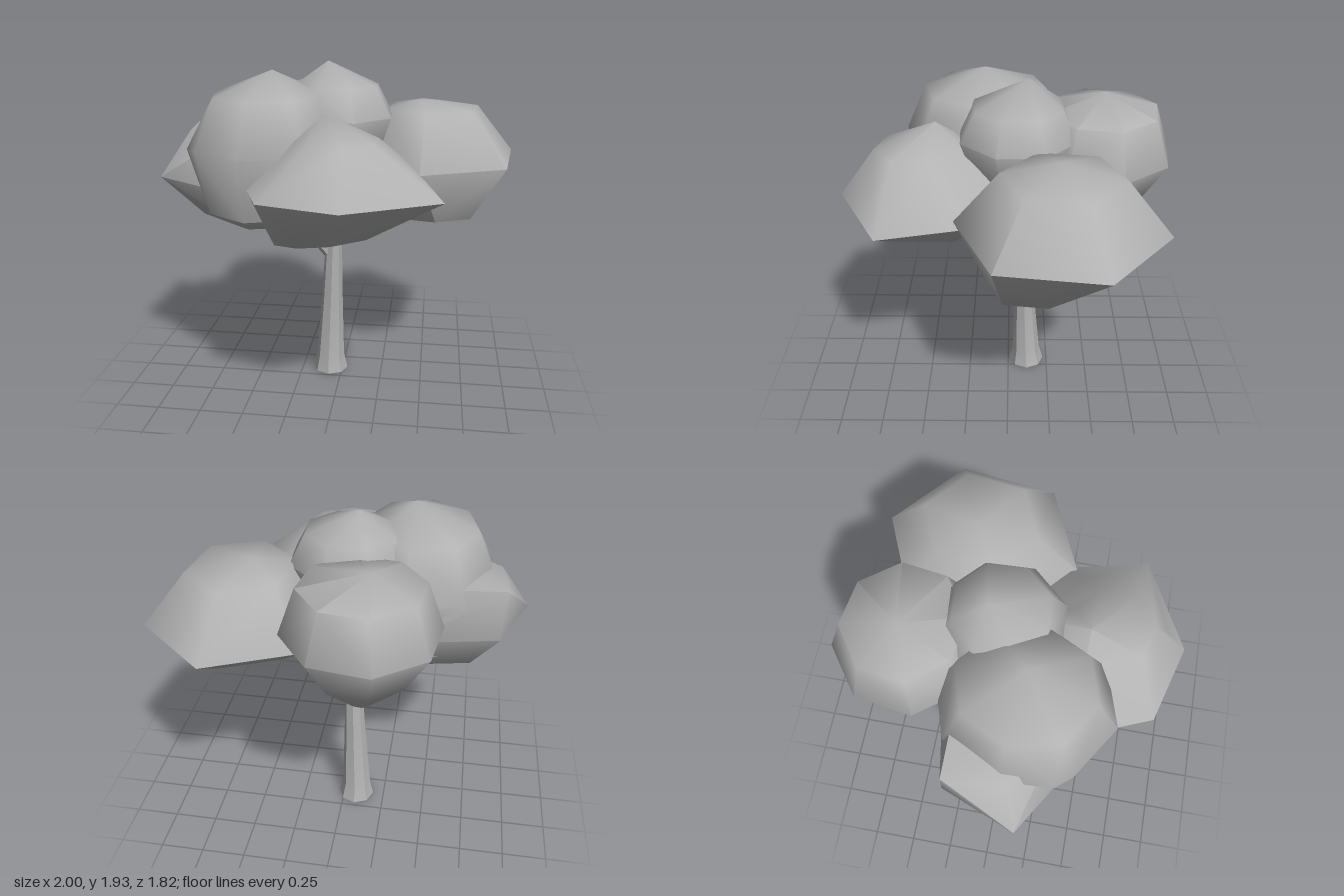
import * as THREE from 'three';
import { toCreasedNormals } from 'three/addons/utils/BufferGeometryUtils.js';
import { ConvexGeometry } from 'three/addons/geometries/ConvexGeometry.js';

// Double-sided because the limbs are open tubes
const grey = new THREE.MeshStandardMaterial({ color: 0xb2b2b2, side: THREE.DoubleSide });
grey.name = 'plain grey';

// Faceted limb: an open prism whose rows follow [y, x, z, radius] sections
function limb(name, sides, ...sections) {
  const rows = sections.length - 1;
  const geo = new THREE.CylinderGeometry(1, 1, 1, sides, rows, true);
  const p = geo.attributes.position;
  for (let i = 0; i < p.count; i++) {
    const [y, x, z, r] = sections[Math.round((p.getY(i) + 0.5) * rows)];
    p.setXYZ(i, x + p.getX(i) * r, y, z + p.getZ(i) * r);
  }
  const mesh = new THREE.Mesh(toCreasedNormals(geo, 0.4), grey);
  mesh.name = name;
  return mesh;
}

// Leaf clump: hull of an elliptical polygon, turned by some degrees and
// repeated at [y, scale, dx, dz] levels, closed by peak points
function clump(name, { centre: [cx, cz], radii: [rx, rz], sides, turn, levels, peaks }) {
  const points = peaks.map((q) => new THREE.Vector3(...q));
  for (const [y, s, dx = 0, dz = 0] of levels) {
    for (let i = 0; i < sides; i++) {
      const a = THREE.MathUtils.degToRad(turn + (360 * i) / sides);
      points.push(new THREE.Vector3(cx + dx + rx * s * Math.cos(a), y, cz + dz + rz * s * Math.sin(a)));
    }
  }
  const mesh = new THREE.Mesh(toCreasedNormals(new ConvexGeometry(points), 1.05), grey);
  mesh.name = name;
  return mesh;
}

export function createModel() {
  const tree = new THREE.Group();
  tree.name = 'tree';

  // Flared, slightly leaning trunk
  tree.add(limb('trunk', 8,
    [0, -0.075, -0.12, 0.108],
    [0.1, -0.075, -0.115, 0.086],
    [0.5, -0.06, -0.1, 0.064],
    [0.8, -0.05, -0.085, 0.052],
    [1.3, -0.04, -0.06, 0.03]));

  // Thin branches reaching into the foliage
  tree.add(
    limb('rightBranch', 5, [0.77, -0.07, -0.09, 0.034], [1.19, -0.33, 0.15, 0.026]),
    limb('leftBranch', 5, [0.89, -0.04, -0.09, 0.034], [1.2, 0.2, -0.18, 0.026]),
    limb('backBranch', 5, [0.8, -0.06, -0.11, 0.034], [1.2, -0.13, -0.34, 0.026]),
  );

  // Round clumps on top
  const foliage = new THREE.Group();
  foliage.name = 'foliage';
  foliage.add(
    clump('largeRoundClump', {
      centre: [-0.38, 0.13], radii: [0.42, 0.475], sides: 8, turn: 97,
      levels: [[1.5, 1], [1.77, 0.74], [1.15, 0.8, -0.02]],
      peaks: [[-0.35, 1.9, 0.13], [-0.78, 1.5, 0.34], [-0.4, 1.12, 0.13]],
    }),
    clump('topClump', {
      centre: [-0.03, -0.055], radii: [0.34, 0.34], sides: 8, turn: -25,
      levels: [[1.64, 1], [1.8, 0.74], [1.35, 0.7]],
      peaks: [[-0.08, 1.93, -0.11], [-0.02, 1.2, -0.06]],
    }),
    clump('backClump', {
      centre: [-0.15, -0.52], radii: [0.41, 0.405], sides: 8, turn: -14,
      levels: [[1.48, 1], [1.73, 0.78], [1.25, 0.66], [1.05, 0.15]],
      peaks: [[-0.2, 1.81, -0.53]],
    }),
  );

  // Flatter clumps with a sharp rim
  foliage.add(
    clump('frontClump', {
      centre: [0.02, 0.4], radii: [0.5, 0.52], sides: 7, turn: 28,
      levels: [[1.34, 1], [1.5, 0.64, 0.04, 0.06], [1.6, 0.42, 0.04, 0.1], [1.09, 0.48, -0.03], [1.04, 0.3, -0.2]],
      peaks: [[-0.02, 1.71, 0.39], [0.59, 1.34, 0.66]],
    }),
    clump('leftClump', {
      centre: [0.53, -0.27], radii: [0.505, 0.55], sides: 6, turn: -22,
      levels: [[1.375, 1], [1.655, 0.57, -0.02], [1.19, 0.64, 0, 0.08], [1.07, 0.42, 0.05, 0.15]],
      peaks: [[0.45, 1.705, -0.27], [0.15, 1.045, -0.05]],
    }),
    clump('lowRightClump', {
      centre: [-0.49, 0.05], radii: [0.5, 0.38], sides: 6, turn: 165,
      levels: [[1.3, 1], [1.56, 0.7], [1.07, 0.6], [0.99, 0.22]],
      peaks: [[-1, 1.3, 0.18], [-0.85, 1.58, -0.2], [-0.52, 0.98, 0.08], [-0.2, 1.03, 0.05]],
    }),
  );
  tree.add(foliage);
  return tree;
}
